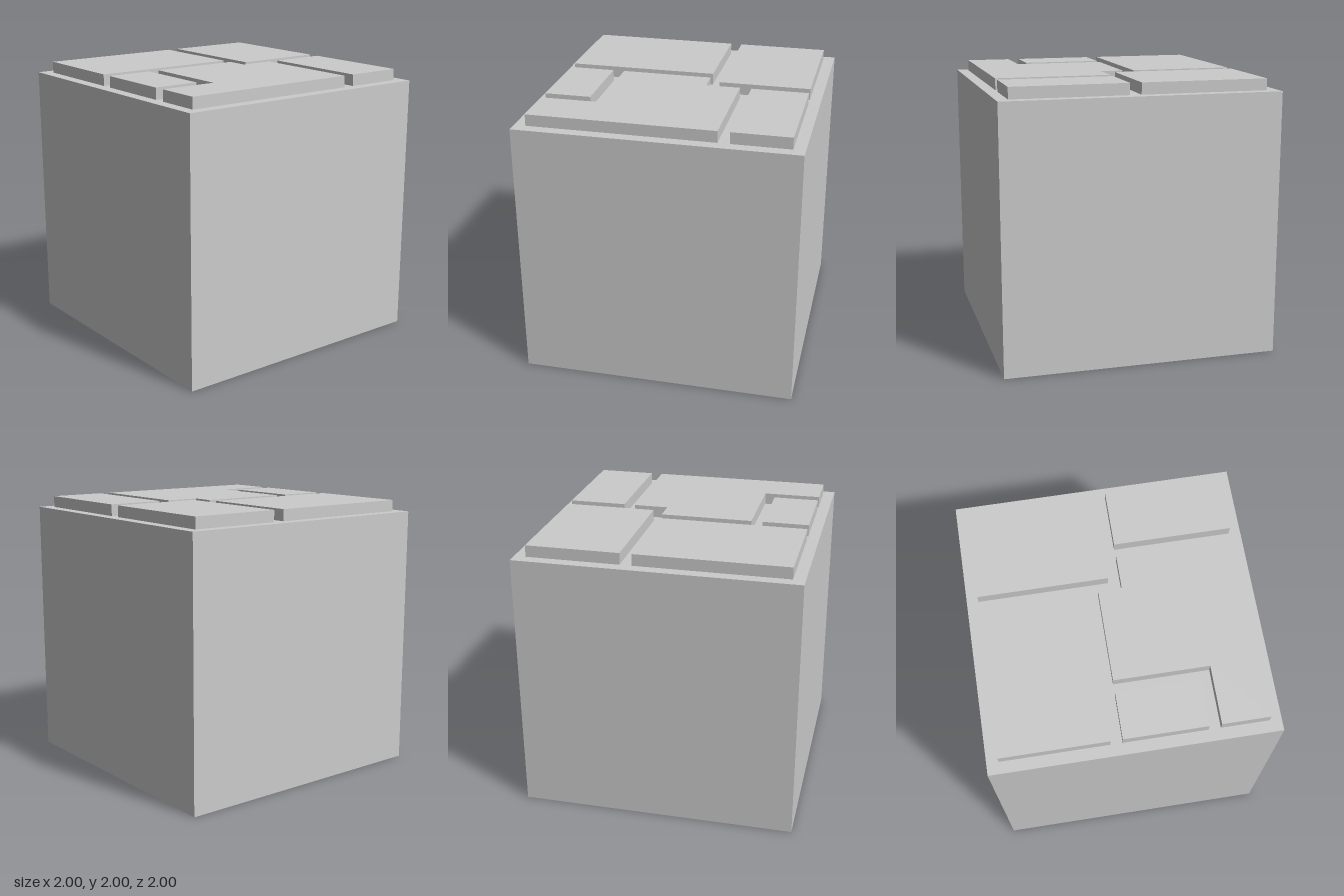
import * as THREE from 'three';

const U = 1 / 12; // layout module: all sizes are multiples of this
const BODY_HEIGHT = 23 * U;

const material = new THREE.MeshStandardMaterial({ color: 0xcccccc, flatShading: true });

// Corners of a rectangular stone from its x and z limits
const rect = (x0, x1, z0, z1) => [[x0, z0], [x1, z0], [x1, z1], [x0, z1]];

// Stone outlines as [x, z] corners, in modules
const stones = {
  backLeftStone: rect(1, 11, -11, -6),
  backRightStone: rect(-11, 0, -11, -3),
  frontRightStone: rect(-11, -2, -2, 11),
  smallFrontStone: rect(-1, 6, 7, 11),
  steppedStone: [[1, -5], [11, -5], [11, 11], [7, 11], [7, 6], [-1, 6], [-1, -2], [1, -2]],
};

// Raised slab extruded upward from its outline
function makeStone(name, corners) {
  const shape = new THREE.Shape(corners.map(([x, z]) => new THREE.Vector2(x * U, -z * U)));
  const geometry = new THREE.ExtrudeGeometry(shape, { depth: U, bevelEnabled: false });
  geometry.rotateX(-Math.PI / 2);
  const mesh = new THREE.Mesh(geometry, material);
  mesh.name = name;
  mesh.position.y = BODY_HEIGHT;
  return mesh;
}

export function createModel() {
  const model = new THREE.Group();
  model.name = 'pavedBlock';

  // Solid block
  const body = new THREE.Mesh(new THREE.BoxGeometry(2, BODY_HEIGHT, 2), material);
  body.name = 'body';
  body.position.y = BODY_HEIGHT / 2;
  model.add(body);

  // Paving stones on top
  for (const [name, corners] of Object.entries(stones)) model.add(makeStone(name, corners));

  return model;
}
